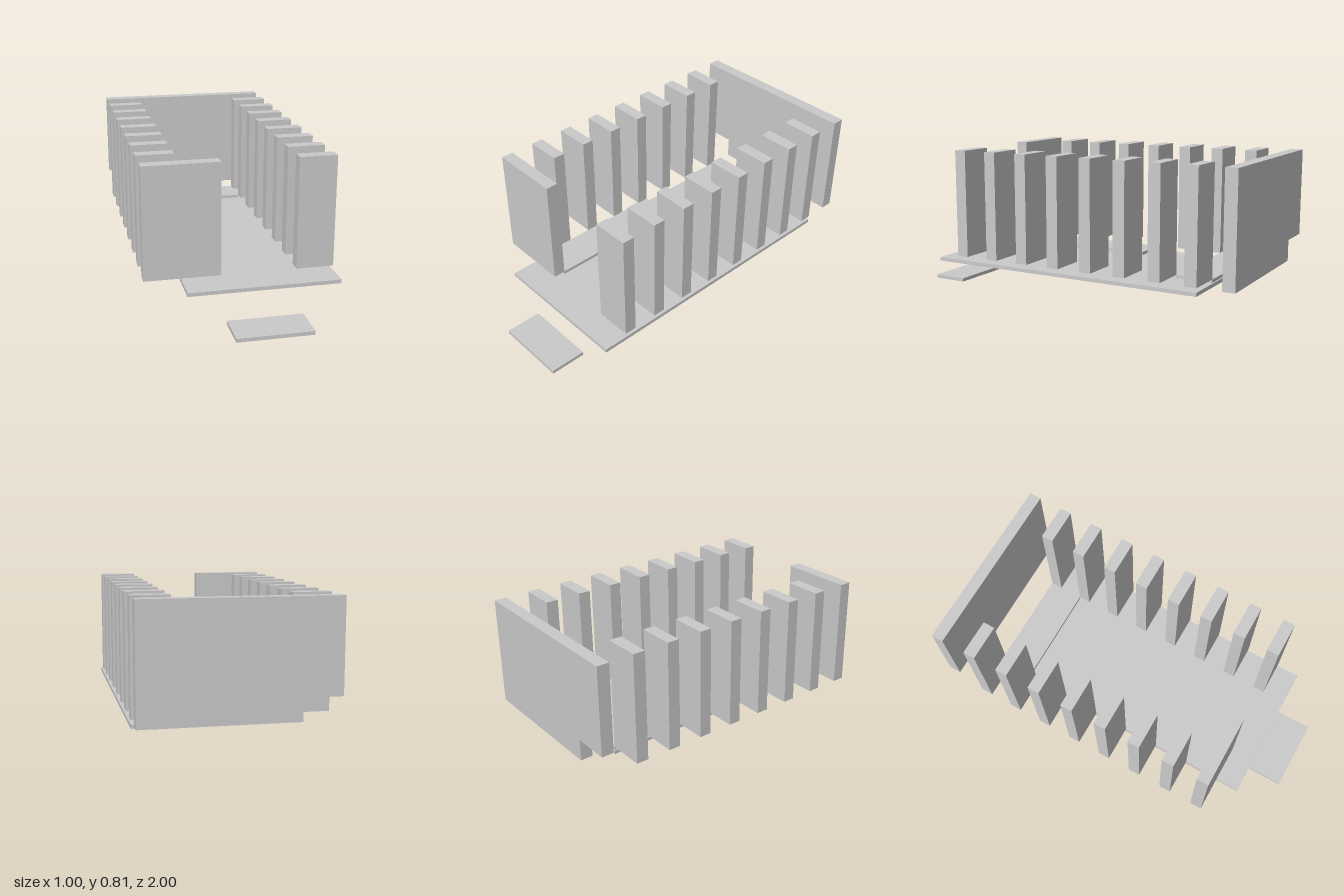
import * as THREE from 'three';

const material = new THREE.MeshStandardMaterial({ color: 0xcccccc, flatShading: true });

// Box given by its lower and upper limits on each axis
function slab(name, [x0, x1], [y0, y1], [z0, z1]) {
  const geometry = new THREE.BoxGeometry(x1 - x0, y1 - y0, z1 - z0);
  geometry.translate((x0 + x1) / 2, (y0 + y1) / 2, (z0 + z1) / 2);
  const mesh = new THREE.Mesh(geometry, material);
  mesh.name = name;
  return mesh;
}

export function createModel() {
  const model = new THREE.Group();
  model.name = 'pavilion';
  const base = 0.213, top = 0.813, thick = 0.067;

  // Floor plate, raised platforms and entrance step
  model.add(
    slab('entranceStep', [-0.1, 0.3], [0, 0.02], [0.8, 1]),
    slab('floorPlate', [-0.3, 0.5], [0.17, 0.19], [-0.8, 0.8]),
    slab('rearPlatform', [-0.3, 0.3], [0.195, base], [-0.8, -0.6]),
    slab('sidePlatform', [-0.3, -0.1], [0.195, base], [-0.2, 0.6])
  );

  // Two rows of fins; the front fin of the right row is wider
  const leftFins = new THREE.Group();
  leftFins.name = 'leftFins';
  const rightFins = new THREE.Group();
  rightFins.name = 'rightFins';
  for (let i = 0; i < 8; i++) {
    const z = -0.8 + i * 0.2;
    const wide = i === 7;
    leftFins.add(slab('leftFin', [0.3, 0.5], [base, top], [z, z + thick]));
    rightFins.add(slab(wide ? 'frontScreen' : 'rightFin',
      [-0.5, wide ? -0.1 : -0.3], [base, top], [z, z + thick]));
  }
  model.add(leftFins, rightFins);

  // Back wall with a notch in its lower corner
  const notch = base + 0.117;
  const outline = new THREE.Shape([
    [-0.3, base], [0.5, base], [0.5, top], [-0.5, top], [-0.5, notch], [-0.3, notch]
  ].map(([x, y]) => new THREE.Vector2(x, y)));
  const wall = new THREE.Mesh(
    new THREE.ExtrudeGeometry(outline, { depth: thick, bevelEnabled: false }), material);
  wall.position.z = -1;
  wall.name = 'backWall';
  model.add(wall);

  return model;
}
